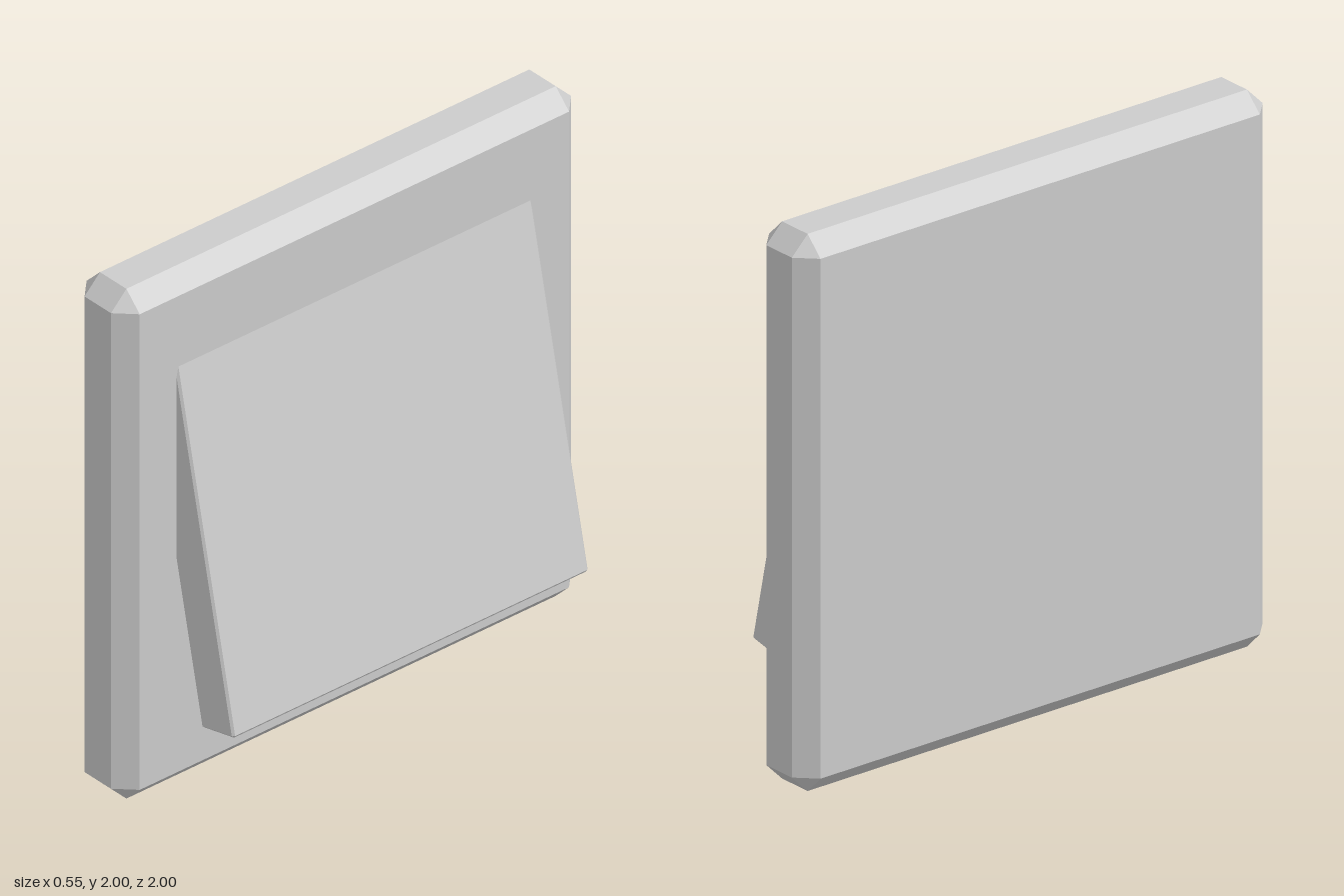
import * as THREE from 'three';
import { ConvexGeometry } from 'three/addons/geometries/ConvexGeometry.js';

const material = new THREE.MeshStandardMaterial({ color: 0xcccccc, flatShading: true });

// Box with every edge chamfered at 45 degrees and triangular corners
function chamferedBox(name, width, height, depth, bevel) {
  const [x, y, z] = [width / 2, height / 2, depth / 2];
  const points = [];
  for (const sx of [-1, 1]) for (const sy of [-1, 1]) for (const sz of [-1, 1]) {
    points.push(
      new THREE.Vector3(sx * x, sy * (y - bevel), sz * (z - bevel)),
      new THREE.Vector3(sx * (x - bevel), sy * y, sz * (z - bevel)),
      new THREE.Vector3(sx * (x - bevel), sy * (y - bevel), sz * z)
    );
  }
  const mesh = new THREE.Mesh(new ConvexGeometry(points), material);
  mesh.name = name;
  return mesh;
}

export function createModel() {
  const group = new THREE.Group();
  group.name = 'wallSwitch';

  // Upright square wall plate
  const plate = chamferedBox('wallPlate', 0.267, 2, 2, 0.067);
  plate.position.set(-0.146, 1, 0);

  // Tilted rocker, its upper end sunk into the plate
  const rocker = chamferedBox('rocker', 0.167, 1.54, 1.546, 0.008);
  rocker.position.set(0.029, 1.074, 0);
  rocker.rotation.z = THREE.MathUtils.degToRad(12.3);

  group.add(plate, rocker);
  return group;
}
